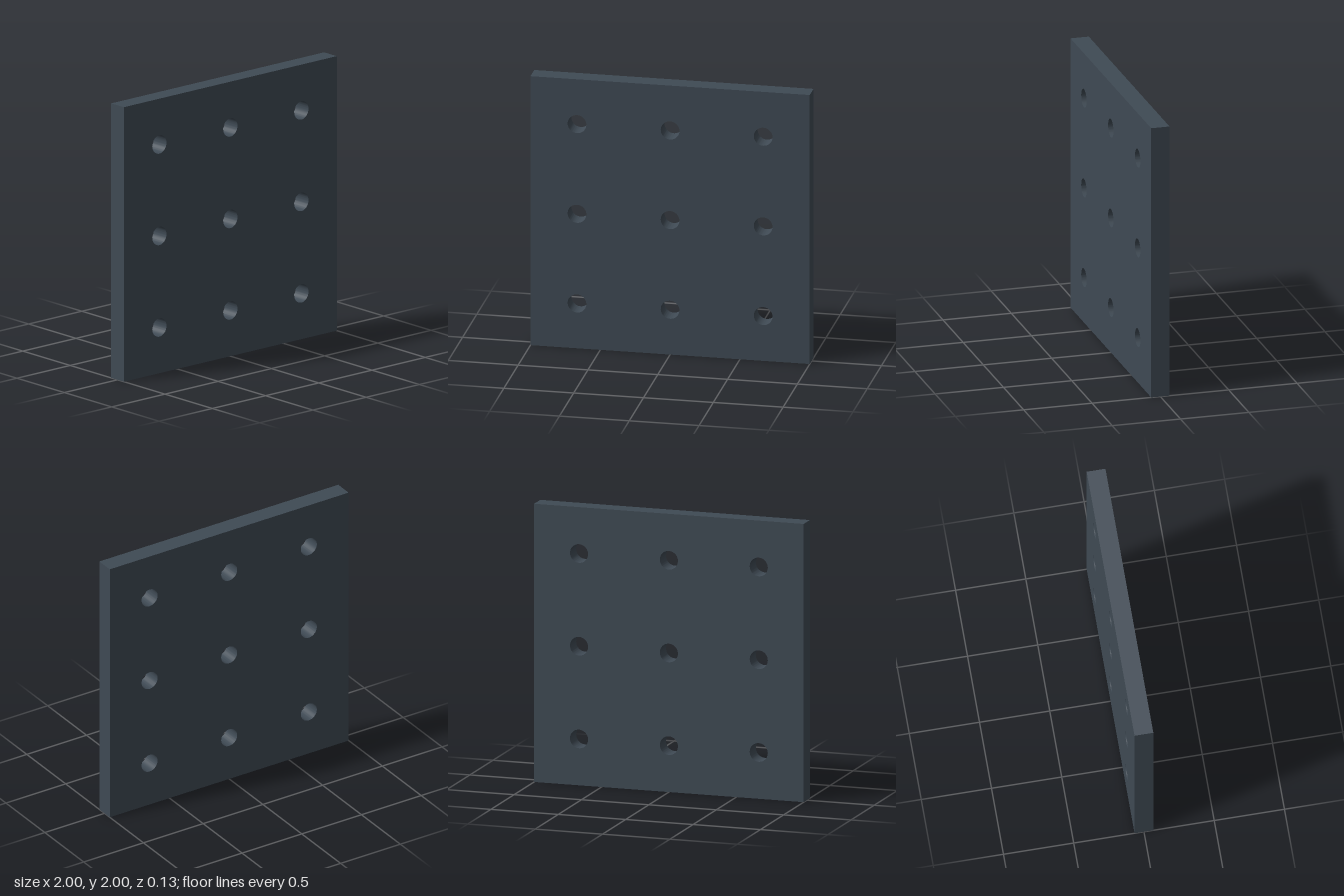
import * as THREE from 'three';
import { toCreasedNormals } from 'three/addons/utils/BufferGeometryUtils.js';

const SIZE = 2, THICKNESS = 0.134, HOLE_RADIUS = 0.067, SPACING = 2 / 3;

export function createModel() {
  const group = new THREE.Group();
  group.name = 'perforatedPlate';

  // Square outline
  const h = SIZE / 2;
  const outline = new THREE.Shape([
    new THREE.Vector2(-h, 0), new THREE.Vector2(h, 0),
    new THREE.Vector2(h, SIZE), new THREE.Vector2(-h, SIZE),
  ]);

  // Three by three grid of round through holes
  for (let row = -1; row <= 1; row++) {
    for (let col = -1; col <= 1; col++) {
      const hole = new THREE.Path();
      hole.absarc(col * SPACING, h + row * SPACING, HOLE_RADIUS, 0, Math.PI * 2, true);
      outline.holes.push(hole);
    }
  }

  // Plate with sharp edges and smooth hole walls
  const geometry = new THREE.ExtrudeGeometry(outline, {
    depth: THICKNESS, bevelEnabled: false, curveSegments: 32,
  });
  geometry.translate(0, 0, -THICKNESS / 2);
  const plate = new THREE.Mesh(
    toCreasedNormals(geometry, Math.PI / 6),
    new THREE.MeshStandardMaterial({ color: 0x3f4a54 }),
  );
  plate.name = 'plate';
  group.add(plate);
  return group;
}
